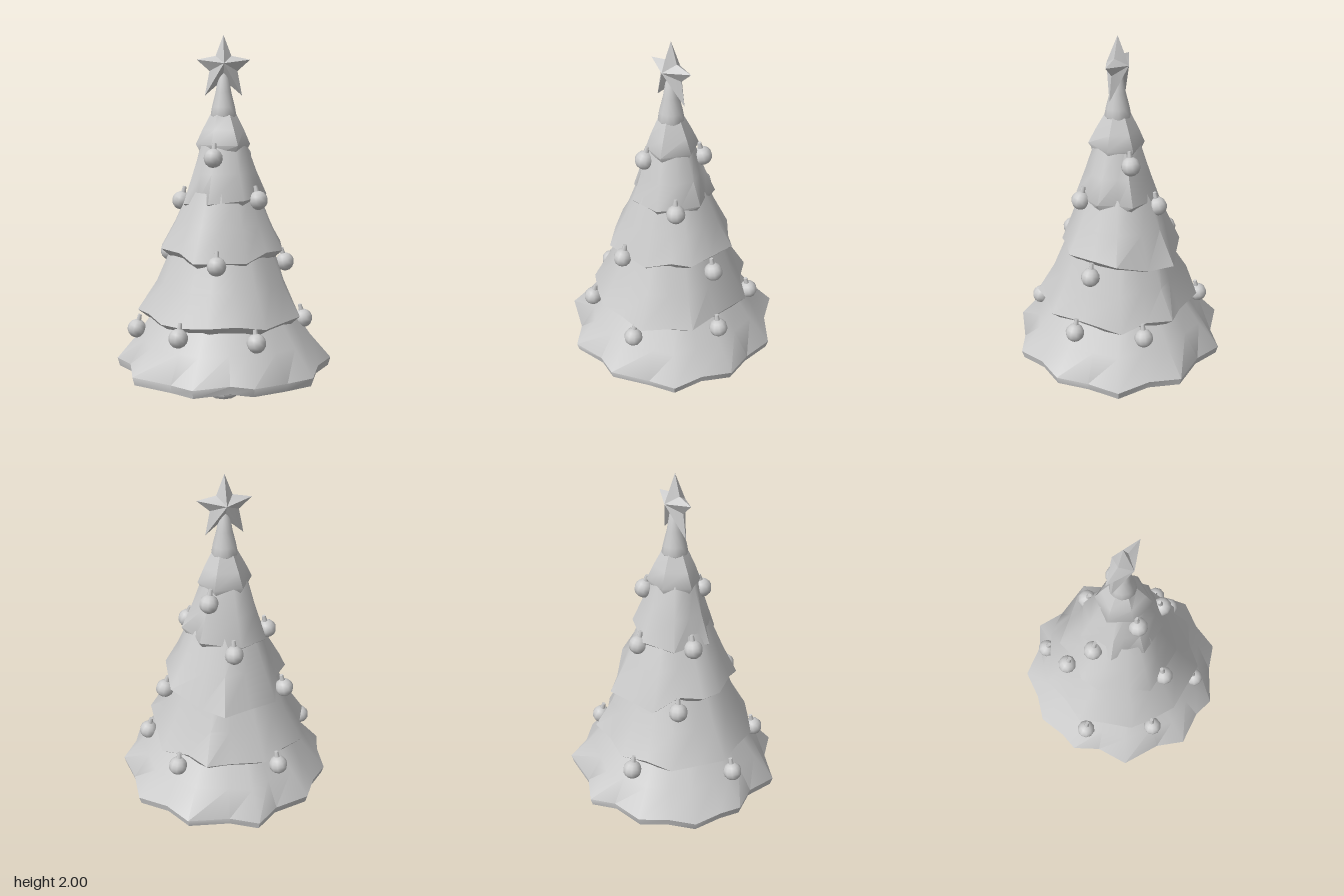
import * as THREE from 'three';
import { toCreasedNormals, mergeVertices } from 'three/addons/utils/BufferGeometryUtils.js';

const grey = new THREE.MeshStandardMaterial({ color: 0xcccccc });
const CZ = 0.015; // the trunk axis sits slightly forward

function add(parent, name, geometry) {
  const mesh = new THREE.Mesh(geometry, grey);
  mesh.name = name;
  parent.add(mesh);
  return mesh;
}

function meshFrom(positions, index, crease) {
  const g = new THREE.BufferGeometry();
  g.setAttribute('position', new THREE.Float32BufferAttribute(positions, 3));
  g.setIndex(index);
  return toCreasedNormals(g, crease);
}

// Loft of a jagged outline: each ring is [scale, height, roundness, how much of the rim's height offset it keeps]
function tierGeometry(outline, rings, lift = () => 0) {
  const n = outline.length;
  const radii = outline.map(([x, z]) => Math.hypot(x, z - CZ));
  const mean = radii.reduce((a, b) => a + b) / n;
  const pos = [], index = [];
  rings.forEach(([s, y, round, keep], k) => {
    outline.forEach(([x, z], i) => {
      const a = Math.atan2(z - CZ, x);
      const r = s * THREE.MathUtils.lerp(radii[i], mean, round);
      pos.push(r * Math.cos(a), y + keep * lift(x, z), CZ + r * Math.sin(a));
      if (k === rings.length - 1) return;
      const j = (i + 1) % n, p = k * n, q = p + n;
      index.push(p + i, q + i, p + j, p + j, q + i, q + j);
    });
  });
  return meshFrom(pos, index, 0.85);
}

// Rim outlines, clockwise seen from above, as [x, z]
const skirt = [[-0.06, -0.59], [0.09, -0.52], [0.32, -0.51], [0.41, -0.36], [0.55, -0.24], [0.55, -0.06],
  [0.59, 0.11], [0.5, 0.25], [0.45, 0.41], [0.31, 0.47], [0.13, 0.59], [0.01, 0.565], [-0.18, 0.59],
  [-0.29, 0.47], [-0.49, 0.37], [-0.51, 0.19], [-0.59, 0.06], [-0.56, -0.05], [-0.55, -0.21],
  [-0.45, -0.32], [-0.37, -0.46], [-0.18, -0.5]];
const second = [[-0.13, -0.42], [0.05, -0.385], [0.19, -0.4], [0.27, -0.28], [0.4, -0.19], [0.4, 0.05],
  [0.4, 0.23], [0.29, 0.31], [0.2, 0.43], [0.05, 0.44], [-0.1, 0.45], [-0.23, 0.38], [-0.34, 0.31],
  [-0.41, 0.16], [-0.475, 0.03], [-0.42, -0.1], [-0.385, -0.26], [-0.25, -0.34]];
const third = [[0.08, -0.355], [0.19, -0.25], [0.33, -0.13], [0.32, 0.02], [0.31, 0.16], [0.22, 0.22],
  [0.11, 0.31], [-0.03, 0.315], [-0.17, 0.32], [-0.24, 0.22], [-0.34, 0.08], [-0.34, -0.03],
  [-0.26, -0.13], [-0.22, -0.27], [-0.07, -0.31]];
const fourth = [[-0.04, -0.215], [0.17, -0.15], [0.18, -0.07], [0.235, 0.025], [0.18, 0.12], [0.1, 0.215],
  [-0.09, 0.215], [-0.15, 0.13], [-0.22, 0.09], [-0.2, 0], [-0.2, -0.12]];
const fifth = [[-0.07, -0.11], [0.08, -0.11], [0.145, 0.01], [0.07, 0.155], [-0.07, 0.13], [-0.15, 0.02]];

function starGeometry() {
  const half = [[0, 2], [0.042, 1.89], [0.143, 1.87], [0.075, 1.81], [0.1, 1.68], [0, 1.765]];
  const rim = [...half, ...half.slice(1, 5).reverse().map(([x, y]) => [-x, y])];
  const pos = rim.flatMap(([x, y]) => [x, y, CZ]);
  pos.push(0, 1.85, CZ + 0.063, 0, 1.85, CZ - 0.063);
  const index = [], n = rim.length;
  for (let i = 0; i < n; i++) {
    const j = (i + 1) % n;
    index.push(n, j, i, n + 1, i, j);
  }
  return meshFrom(pos, index, 0.6);
}

// Ornament centres
const ornaments = [[-0.21, 0.46, -0.4], [0.33, 0.46, -0.29], [0.44, 0.46, 0.07], [0.15, 0.43, 0.44],
  [-0.25, 0.45, 0.4], [-0.48, 0.415, 0.08], [0.34, 0.77, 0.02], [-0.05, 0.81, 0.33], [-0.3, 0.8, -0.16],
  [0, 1.09, -0.22], [0.18, 1.13, 0.15], [-0.23, 1.11, -0.02], [0.11, 1.35, -0.11], [-0.06, 1.355, 0.15]];

export function createModel() {
  const tree = new THREE.Group();
  tree.name = 'decoratedTree';

  // Trunk with a bevelled foot
  const trunkProfile = [[0, 0], [0.075, 0], [0.09, 0.02], [0.09, 0.24]].map(p => new THREE.Vector2(...p));
  const trunk = new THREE.LatheGeometry(trunkProfile, 10);
  trunk.deleteAttribute('normal');
  trunk.deleteAttribute('uv');
  add(tree, 'trunk', toCreasedNormals(mergeVertices(trunk), 0.7)).position.z = CZ;

  // Foliage tiers from the ground up
  const wave = (x, z) => 0.012 * Math.sin(5 * Math.atan2(z, x));
  add(tree, 'bottomTier', tierGeometry(skirt, [
    [0.01, 0.2, 0, 0], [0.6, 0.2, 0.5, 0], [0.93, 0.18, 0.1, 1], [0.98, 0.19, 0, 1], [1, 0.235, 0, 1],
    [0.82, 0.37, 0.4, 0.5], [0.65, 0.52, 0.8, 0]], wave));
  add(tree, 'secondTier', tierGeometry(second, [
    [0.01, 0.44, 0, 0], [0.87, 0.45, 0.5, 0], [1, 0.505, 0, 1],
    [0.8, 0.67, 0.4, 0.4], [0.6, 0.9, 0.8, 0]], wave));
  add(tree, 'thirdTier', tierGeometry(third, [
    [0.01, 0.79, 0, 0], [0.84, 0.8, 0.5, 0.7], [1, 0.85, 0, 1],
    [0.78, 1, 0.4, 0.3], [0.57, 1.17, 0.8, 0]], (x, z) => (z < -0.2 ? -0.06 : z > 0.25 ? -0.03 : 0.01)));
  add(tree, 'fourthTier', tierGeometry(fourth, [
    [0.01, 1.07, 0, 0], [0.84, 1.08, 0.5, 0], [1, 1.125, 0, 1],
    [0.78, 1.27, 0.4, 0.3], [0.55, 1.43, 0.8, 0]], x => 0.1 * x));
  add(tree, 'fifthTier', tierGeometry(fifth, [
    [0.01, 1.36, 0, 0], [0.82, 1.37, 0.5, 0], [1, 1.42, 0, 0],
    [0.76, 1.5, 0.4, 0], [0.48, 1.58, 1, 0]]));

  // Treetop cone with a small lip
  const tipProfile = [[0, 1.56], [0.06, 1.56], [0.07, 1.575], [0.062, 1.62], [0.042, 1.7], [0.026, 1.8], [0, 1.83]]
    .map(p => new THREE.Vector2(...p));
  add(tree, 'treetop', new THREE.LatheGeometry(tipProfile, 12)).position.z = CZ;

  add(tree, 'star', starGeometry());

  // Ornaments hang from short loops leaning towards the trunk
  const ball = new THREE.SphereGeometry(0.051, 10, 8);
  const stem = new THREE.CylinderGeometry(0.011, 0.016, 0.04, 6);
  stem.translate(0, 0.06, 0);
  ornaments.forEach(([x, y, z], i) => {
    const ornament = new THREE.Group();
    ornament.name = `ornament${i + 1}`;
    add(ornament, 'ball', ball);
    add(ornament, 'hanger', stem);
    ornament.position.set(x, y, z);
    const inward = new THREE.Vector3(-x, 0, CZ - z).normalize().multiplyScalar(0.25);
    ornament.quaternion.setFromUnitVectors(new THREE.Vector3(0, 1, 0), inward.setY(1).normalize());
    tree.add(ornament);
  });

  return tree;
}
